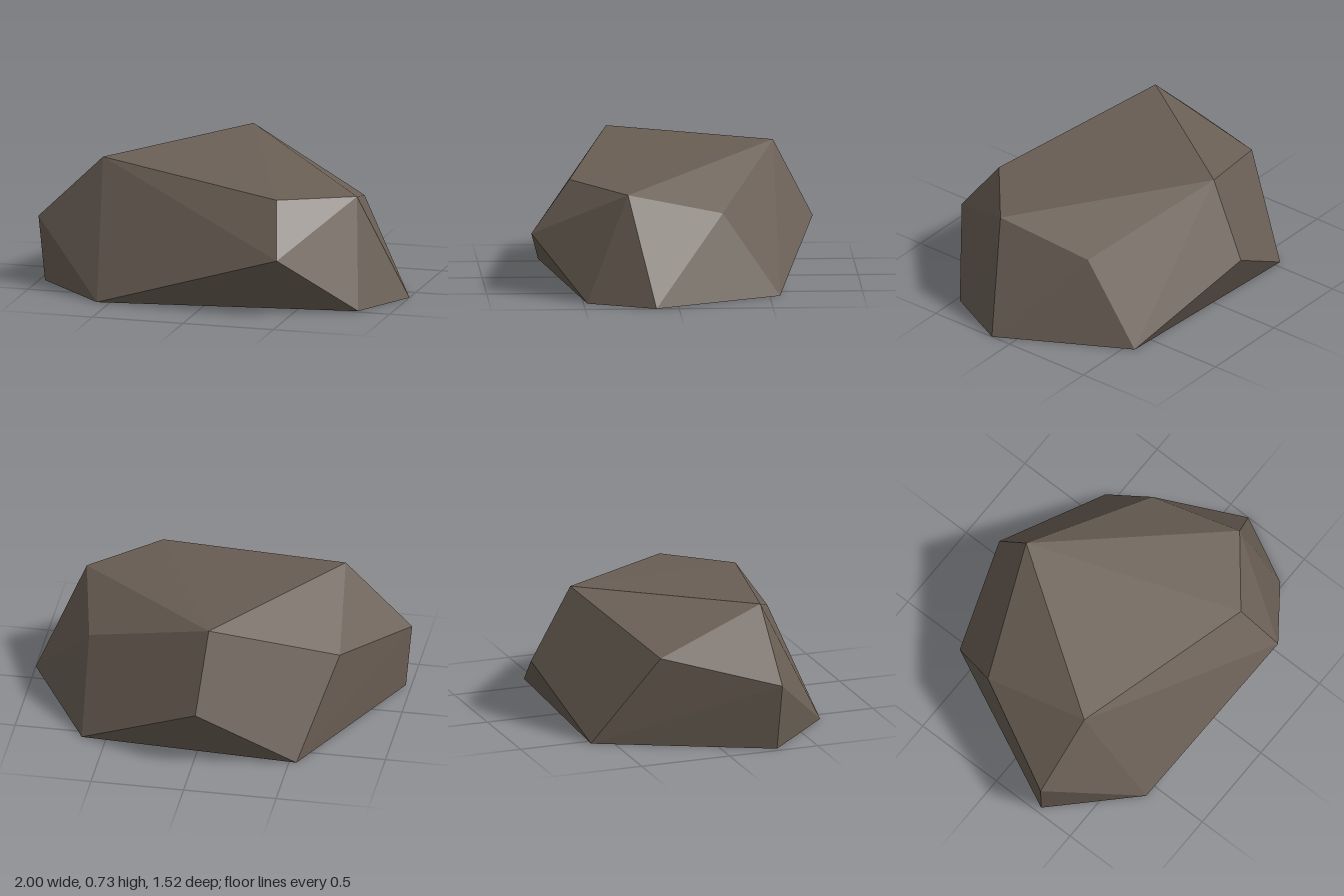
import * as THREE from 'three';
import { ConvexGeometry } from 'three/addons/geometries/ConvexGeometry.js';

export function createModel() {
  const stone = new THREE.MeshStandardMaterial({ color: 0x6a5f55 });
  stone.name = 'brown grey stone';

  // Corners of the faceted boulder, from the ground up
  const base = [
    [-0.57, 0, 0.675], [0.82, 0, 0.48], [1, 0, 0.12],
    [0.63, 0, -0.555], [-0.54, 0, -0.615], [-0.97, 0, 0.28],
  ];
  const girdle = [
    [-1, 0.355, 0.3], [0.45, 0.315, 0.76], [0.645, 0.45, -0.25],
    [-0.02, 0.32, -0.76], [-0.715, 0.49, -0.285],
  ];
  const crown = [
    [-0.64, 0.705, 0.31], [0.39, 0.595, 0.555],
    [0.75, 0.57, 0.26], [-0.055, 0.725, -0.55],
  ];
  const corners = [...base, ...girdle, ...crown].map((p) => new THREE.Vector3(...p));

  // The hull of the corners gives the flat, sharp-edged faces
  const boulder = new THREE.Mesh(new ConvexGeometry(corners), stone);
  boulder.name = 'boulder';

  const group = new THREE.Group();
  group.name = 'rock';
  group.add(boulder);
  return group;
}
